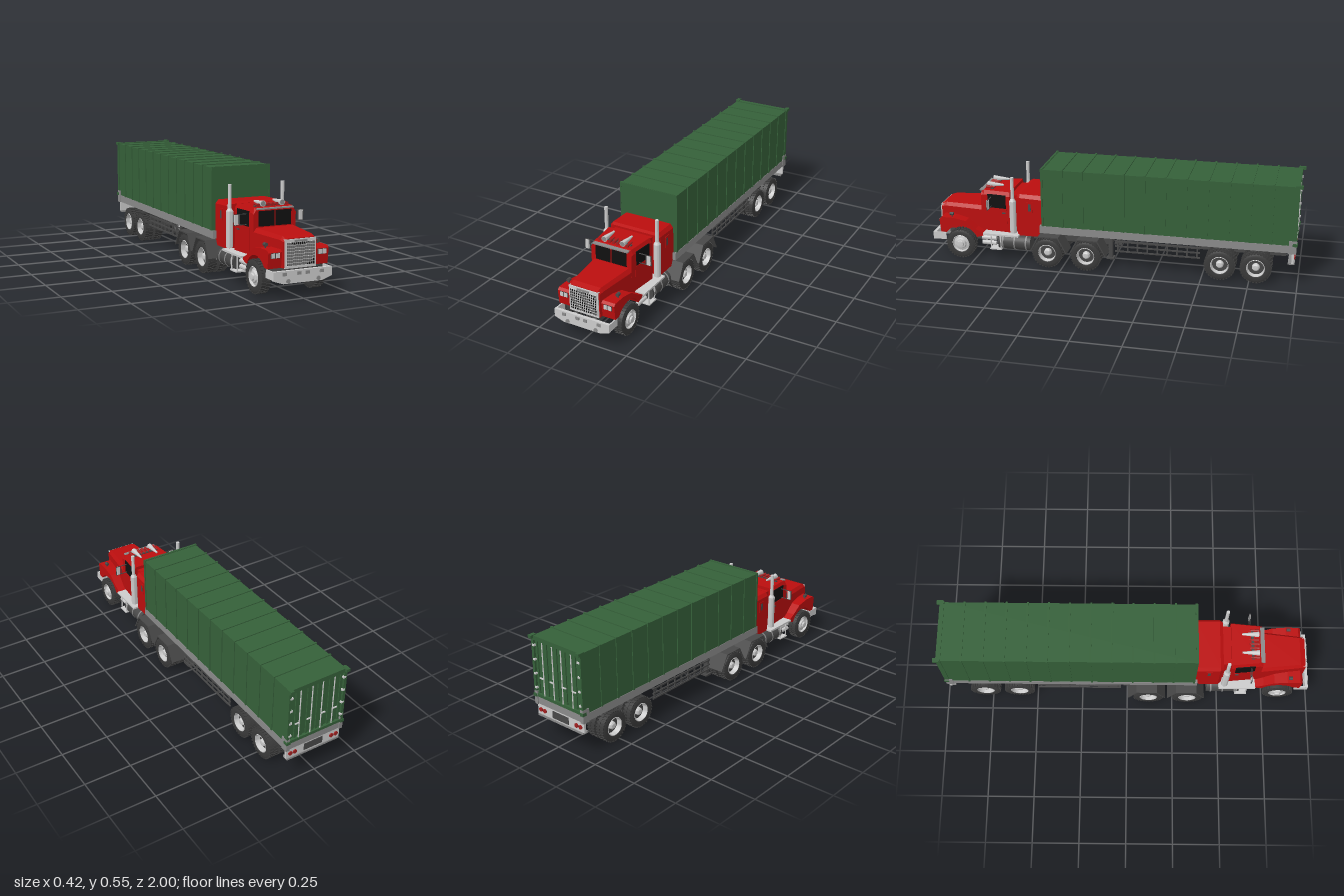
import * as THREE from 'three';
import { mergeGeometries, toCreasedNormals } from 'three/addons/utils/BufferGeometryUtils.js';

const mat = (color) => new THREE.MeshStandardMaterial({ color });
const RED = mat(0xbb0e0e), GREEN = mat(0x356039), LIGHT = mat(0xcccccc), MID = mat(0x8a8a8a);
const DARK = mat(0x484848), TYRE = mat(0x3a3a3a), BLACK = mat(0x101010), LAMP = mat(0xa02020);

function add(parent, name, geo, material, x = 0, y = 0, z = 0) {
  const m = new THREE.Mesh(geo, material);
  m.name = name;
  m.position.set(x, y, z);
  parent.add(m);
  return m;
}
// Box given by its extents on each axis
function box(parent, name, material, [x0, x1], [y0, y1], [z0, z1]) {
  return add(parent, name, new THREE.BoxGeometry(Math.abs(x1 - x0), y1 - y0, z1 - z0), material,
    (x0 + x1) / 2, (y0 + y1) / 2, (z0 + z1) / 2);
}
// Cylinder along an axis, centred on a point; r1 is the radius at the positive end
function cyl(parent, name, material, axis, r0, r1, len, x, y, z, seg = 20) {
  const g = new THREE.CylinderGeometry(r1, r0, len, seg);
  if (axis === 'x') g.rotateZ(-Math.PI / 2);
  if (axis === 'z') g.rotateX(Math.PI / 2);
  return add(parent, name, toCreasedNormals(g, 0.7), material, x, y, z);
}
// Extrudes a side outline (z, y) across x
function extrudeX(shape, x0, x1) {
  const g = new THREE.ExtrudeGeometry(shape, { depth: x1 - x0, bevelEnabled: false, curveSegments: 20 });
  return g.rotateY(-Math.PI / 2).translate(x1, 0, 0);
}
const outline = (pts) => new THREE.Shape(pts.map((p) => new THREE.Vector2(...p)));
// Lofts mirrored half-sections, each [z, [[x, y] from bottom to top]], from back to front
function loft(sections) {
  const rings = sections.map(([z, half]) =>
    [...half, ...half.map(([x, y]) => [-x, y]).reverse()].map(([x, y]) => [x, y, z]));
  const pos = [], n = rings[0].length, tri = (...p) => p.forEach((v) => pos.push(...v));
  for (let i = 0; i < rings.length - 1; i++) for (let j = 0; j < n; j++) {
    const k = (j + 1) % n, a = rings[i], b = rings[i + 1];
    tri(a[j], a[k], b[k]);
    tri(a[j], b[k], b[j]);
  }
  const back = rings[0], front = rings[rings.length - 1];
  for (let j = 1; j < n - 1; j++) {
    tri(front[0], front[j], front[j + 1]);
    tri(back[0], back[j + 1], back[j]);
  }
  const g = new THREE.BufferGeometry();
  g.setAttribute('position', new THREE.Float32BufferAttribute(pos, 3));
  g.computeVertexNormals();
  return g;
}
// Surface of revolution about x, profile as [radius, x]
function latheX(pts) {
  const g = new THREE.LatheGeometry(pts.map((p) => new THREE.Vector2(...p)), 32);
  return toCreasedNormals(g.rotateZ(-Math.PI / 2), 0.6);
}
// Tyre with two staggered rows of tread blocks
function tyreGeometry(w) {
  const h = w / 2;
  const parts = [latheX([[0.046, -h * 0.7], [0.05, -h * 0.95], [0.068, -h], [0.079, -h * 0.8],
    [0.079, h * 0.8], [0.068, h], [0.05, h * 0.95], [0.046, h * 0.7], [0.046, -h * 0.7]])];
  for (let i = 0; i < 60; i++) {
    const b = new THREE.BoxGeometry(h * 0.84, 0.006, 0.0095).toNonIndexed();
    b.translate((i % 2 ? 1 : -1) * h * 0.46, 0.08, 0).rotateX((i / 60) * Math.PI * 2);
    parts.push(b);
  }
  return mergeGeometries(parts.map((g) => { g.deleteAttribute('uv'); return g; }));
}
const TYRE_GEO = tyreGeometry(0.054);
const HUB_GEO = {
  single: latheX([[0.048, -0.02], [0.05, 0.022], [0.046, 0.026], [0.042, 0.014], [0.03, 0.018],
    [0.026, 0.026], [0.018, 0.028], [0.016, 0.036], [0, 0.038]]),
  dual: latheX([[0.048, -0.02], [0.05, 0.022], [0.046, 0.026], [0.041, -0.008], [0.022, -0.012],
    [0.019, 0.012], [0.013, 0.018], [0, 0.02]]),
};
// Axle with wheels on both sides, at the given tyre centres
function axle(parent, name, z, centres) {
  const g = new THREE.Group();
  g.name = name;
  g.position.set(0, 0.083, z);
  parent.add(g);
  cyl(g, 'axleBeam', DARK, 'x', 0.014, 0.014, centres[0] * 2, 0, 0, 0);
  for (const s of [-1, 1]) centres.forEach((c, i) => {
    const turn = s > 0 ? 0 : Math.PI;
    add(g, 'tyre', TYRE_GEO, TYRE, s * c).rotation.y = turn;
    add(g, 'wheelHub', HUB_GEO[centres.length > 1 ? 'dual' : 'single'], LIGHT, s * c).rotation.y = turn;
    if (i === 0) cyl(g, 'brakeDrum', DARK, 'x', 0.044, 0.044, 0.02, s * (c - 0.012), 0, 0);
  });
}

function buildTractor(t) {
  // Chassis and driveline
  for (const s of [-1, 1]) box(t, 'chassisRail', DARK, [s * 0.045, s * 0.062], [0.105, 0.16], [0, 0.96]);
  for (const z of [0.03, 0.22, 0.42, 0.6, 0.92]) box(t, 'crossMember', DARK, [-0.05, 0.05], [0.11, 0.15], [z - 0.012, z + 0.012]);
  box(t, 'engine', DARK, [-0.04, 0.04], [0.065, 0.15], [0.66, 0.9]);
  cyl(t, 'driveShaft', DARK, 'z', 0.012, 0.012, 0.55, 0, 0.088, 0.39);
  for (const z of [0.117, 0.33]) add(t, 'differential', new THREE.SphereGeometry(0.04, 16, 12), DARK, 0, 0.085, z);
  cyl(t, 'fifthWheel', DARK, 'y', 0.075, 0.075, 0.016, 0, 0.17, 0.22, 28);
  axle(t, 'frontAxle', 0.83, [0.147]);
  axle(t, 'driveAxleFront', 0.33, [0.18, 0.116]);
  axle(t, 'driveAxleRear', 0.117, [0.18, 0.116]);

  // Bodywork
  add(t, 'hood', loft([[0.72, [[0.115, 0.15], [0.115, 0.27], [0.1, 0.29]]],
    [0.935, [[0.09, 0.14], [0.09, 0.268], [0.077, 0.286]]],
    [0.962, [[0.087, 0.14], [0.087, 0.262], [0.075, 0.277]]]]), RED);
  add(t, 'cab', loft([[0.555, [[0.13, 0.145], [0.13, 0.36], [0.118, 0.383]]],
    [0.705, [[0.116, 0.145], [0.116, 0.36], [0.104, 0.383]]],
    [0.722, [[0.115, 0.145], [0.115, 0.355], [0.1, 0.376]]]]), RED);
  box(t, 'cabLink', RED, [-0.108, 0.108], [0.15, 0.365], [0.505, 0.56]);
  add(t, 'sleeper', loft([[0.37, [[0.146, 0.15], [0.146, 0.36], [0.13, 0.38]]],
    [0.495, [[0.146, 0.15], [0.146, 0.365], [0.132, 0.383]]],
    [0.512, [[0.136, 0.15], [0.136, 0.36], [0.126, 0.376]]]]), RED);
  box(t, 'sunVisor', MID, [-0.1, 0.1], [0.376, 0.382], [0.71, 0.732]);
  const fender = outline([[0.912, 0.14], [0.945, 0.14], [0.952, 0.215], [0.94, 0.226], [0.87, 0.226],
    [0.8, 0.212], [0.745, 0.172], [0.7, 0.148], [0.705, 0.135], [0.739, 0.125]]);
  fender.absarc(0.83, 0.083, 0.1, THREE.MathUtils.degToRad(155), THREE.MathUtils.degToRad(35), true);

  for (const s of [-1, 1]) {
    const span = (a, b) => (s > 0 ? [a, b] : [-b, -a]);
    add(t, 'frontFender', extrudeX(fender, ...span(0.084, 0.16)), RED);
    for (const x of [0.112, 0.136]) {
      box(t, 'headlightFrame', DARK, span(x - 0.011, x + 0.011), [0.188, 0.214], [0.945, 0.954]);
      box(t, 'headlight', LIGHT, span(x - 0.009, x + 0.009), [0.19, 0.212], [0.95, 0.957]);
    }
    cyl(t, 'turnSignal', DARK, 'z', 0.009, 0.009, 0.02, s * 0.14, 0.243, 0.885, 12);
    cyl(t, 'signalStem', DARK, 'y', 0.004, 0.004, 0.02, s * 0.14, 0.23, 0.885, 8);
    // Windows, door and sleeper panel
    box(t, 'windscreen', BLACK, span(0.004, 0.088), [0.295, 0.369], [0.715, 0.725]);
    box(t, 'sideWindow', BLACK, [s * 0.122 - 0.003, s * 0.122 + 0.003], [0.29, 0.365], [0.577, 0.683]).rotation.y = -s * 0.093;
    box(t, 'door', RED, [s * 0.122 - 0.002, s * 0.122 + 0.002], [0.16, 0.285], [0.572, 0.69]).rotation.y = -s * 0.093;
    box(t, 'doorHandle', DARK, span(0.128, 0.133), [0.262, 0.268], [0.58, 0.6]);
    box(t, 'sleeperPanel', RED, span(0.144, 0.149), [0.285, 0.345], [0.42, 0.455]);
    box(t, 'sleeperVent', DARK, span(0.148, 0.15), [0.295, 0.335], [0.43, 0.445]);
    // Exhaust stack
    cyl(t, 'muffler', LIGHT, 'y', 0.018, 0.018, 0.18, s * 0.147, 0.255, 0.532);
    cyl(t, 'exhaustCone', LIGHT, 'y', 0.018, 0.0095, 0.015, s * 0.147, 0.352, 0.532);
    cyl(t, 'exhaustPipe', LIGHT, 'y', 0.0095, 0.0095, 0.13, s * 0.147, 0.413, 0.532);
    // Mirror on a wire bracket
    box(t, 'mirror', LIGHT, span(0.168, 0.186), [0.3, 0.349], [0.658, 0.668]);
    for (const y of [0.298, 0.35]) box(t, 'mirrorArm', DARK, span(0.115, 0.19), [y - 0.0015, y + 0.0015], [0.66, 0.664]);
    for (const x of [0.16, 0.19]) box(t, 'mirrorPost', DARK, span(x - 0.0015, x + 0.0015), [0.298, 0.35], [0.66, 0.664]);
    // Fuel tank, steps and air tanks
    cyl(t, 'fuelTank', DARK, 'z', 0.043, 0.043, 0.18, s * 0.127, 0.105, 0.525, 24);
    for (const z of [0.46, 0.525, 0.59]) cyl(t, 'tankStrap', MID, 'z', 0.0445, 0.0445, 0.008, s * 0.127, 0.105, z, 24);
    box(t, 'deckStep', LIGHT, span(0.1, 0.172), [0.145, 0.155], [0.5, 0.7]);
    box(t, 'lowerStep', LIGHT, span(0.115, 0.176), [0.066, 0.073], [0.595, 0.66]);
    for (const z of [0.6, 0.655]) box(t, 'stepHanger', LIGHT, span(0.165, 0.17), [0.07, 0.15], [z - 0.003, z + 0.003]);
    for (const y of [0.09, 0.118]) cyl(t, 'airTank', LIGHT, 'z', 0.012, 0.012, 0.08, s * 0.135, y, 0.675, 14);
    // Angled guards over the drive wheels
    for (const z of [0.107, 0.322]) {
      const guard = outline([[-0.102, 0.09], [-0.096, 0.09], [-0.052, 0.171], [0.052, 0.171],
        [0.096, 0.09], [0.102, 0.09], [0.056, 0.177], [-0.056, 0.177]]);
      add(t, 'driveWheelGuard', extrudeX(guard, ...span(0.11, 0.209)), DARK, 0, 0, z);
    }
    // Bumper fittings
    box(t, 'bumperReturn', LIGHT, span(0.148, 0.155), [0.094, 0.134], [0.92, 0.985]);
    for (const x of [0.022, 0.098]) box(t, 'bumperLamp', MID, span(x - 0.01, x + 0.01), [0.113, 0.128], [0.99, 0.999]);
    cyl(t, 'fogLamp', MID, 'z', 0.01, 0.01, 0.01, s * 0.08, 0.088, 0.995);
    box(t, 'bumperBracket', MID, span(0.045, 0.062), [0.09, 0.125], [0.93, 0.99]);
    // Large roof horns
    cyl(t, 'roofHorn', LIGHT, 'z', 0.005, 0.015, 0.09, s * 0.052, 0.4, 0.655);
    cyl(t, 'hornMouth', MID, 'z', 0.012, 0.012, 0.002, s * 0.052, 0.4, 0.7005);
  }
  for (const x of [-0.077, -0.023, 0, 0.023, 0.077]) {
    cyl(t, 'roofLamp', LAMP, 'z', 0.003, 0.0085, 0.05, x, 0.394, 0.675, 14);
  }
  box(t, 'roofLampBar', DARK, [-0.085, 0.085], [0.382, 0.387], [0.66, 0.675]);

  // Grille and bumper
  box(t, 'grilleSurround', LIGHT, [-0.082, 0.082], [0.138, 0.274], [0.95, 0.968]);
  box(t, 'grilleBack', BLACK, [-0.074, 0.074], [0.15, 0.26], [0.965, 0.97]);
  box(t, 'grilleCap', MID, [-0.034, 0.034], [0.261, 0.27], [0.965, 0.972]);
  for (let i = 0; i <= 14; i++) {
    const x = -0.074 + i * 0.148 / 14;
    box(t, 'grilleBar', LIGHT, [x - 0.0013, x + 0.0013], [0.15, 0.26], [0.968, 0.973]);
  }
  for (let i = 0; i <= 8; i++) {
    const y = 0.15 + i * 0.11 / 8;
    box(t, 'grilleSlat', LIGHT, [-0.074, 0.074], [y - 0.001, y + 0.001], [0.968, 0.972]);
  }
  const bumper = outline([[-0.155, 0.092], [-0.105, 0.075], [0.105, 0.075], [0.155, 0.092], [0.155, 0.135], [-0.155, 0.135]]);
  add(t, 'frontBumper', new THREE.ExtrudeGeometry(bumper, { depth: 0.016, bevelEnabled: false }), LIGHT, 0, 0, 0.978);
}

function buildTrailer(t) {
  // Deck, side rails and underframe
  box(t, 'deck', DARK, [-0.155, 0.155], [0.186, 0.222], [-0.965, 0.375]);
  for (const s of [-1, 1]) {
    const span = (a, b) => (s > 0 ? [a, b] : [-b, -a]);
    box(t, 'sideRail', MID, span(0.15, 0.165), [0.181, 0.222], [-0.975, 0.38]);
    box(t, 'bogieRail', DARK, span(0.04, 0.058), [0.12, 0.19], [-0.93, -0.47]);
    for (const z of [-0.595, -0.783]) box(t, 'leafSpring', DARK, span(0.036, 0.062), [0.095, 0.125], [z - 0.06, z + 0.06]);
    box(t, 'landingLeg', DARK, span(0.095, 0.115), [0.055, 0.19], [-0.012, 0.01]);
    box(t, 'landingFoot', DARK, span(0.085, 0.125), [0.045, 0.055], [-0.022, 0.02]);
    // Side guard
    for (const y of [0.11, 0.138, 0.164]) box(t, 'guardBar', DARK, span(0.154, 0.16), [y - 0.004, y + 0.004], [-0.49, -0.035]);
    for (let i = 0; i < 9; i++) {
      const z = -0.05 - i * 0.053;
      box(t, 'guardPost', DARK, span(0.15, 0.156), [0.107, 0.19], [z - 0.004, z + 0.004]);
    }
    // Tail corner and lamps
    box(t, 'tailCorner', MID, span(0.148, 0.168), [0.178, 0.25], [-0.985, -0.945]);
    for (const x of [0.11, 0.137]) cyl(t, 'tailLamp', LAMP, 'z', 0.011, 0.011, 0.008, s * x, 0.15, -0.977, 16);
  }
  box(t, 'frontRail', MID, [-0.16, 0.16], [0.181, 0.222], [0.37, 0.38]);
  box(t, 'rearRail', MID, [-0.16, 0.16], [0.181, 0.222], [-0.98, -0.96]);
  box(t, 'landingBrace', DARK, [-0.1, 0.1], [0.12, 0.13], [-0.006, 0.004]);
  box(t, 'tailPanel', LIGHT, [-0.16, 0.16], [0.122, 0.182], [-0.975, -0.963]);
  box(t, 'tailFlange', MID, [-0.155, 0.155], [0.114, 0.124], [-0.98, -0.945]);
  box(t, 'tailPlate', DARK, [-0.055, 0.055], [0.132, 0.17], [-0.978, -0.97]);
  axle(t, 'trailerAxleFront', -0.595, [0.148, 0.088]);
  axle(t, 'trailerAxleRear', -0.783, [0.148, 0.088]);

  // Ribbed container
  box(t, 'container', GREEN, [-0.163, 0.163], [0.222, 0.54], [-0.97, 0.367]);
  for (let i = 0; i <= 12; i++) {
    const z = -0.966 + i * 0.1107;
    box(t, 'roofRib', GREEN, [-0.167, 0.167], [0.535, 0.545], [z - 0.005, z + 0.005]);
    for (const s of [-1, 1]) box(t, 'sideRib', GREEN, [s * 0.16, s * 0.167], [0.222, 0.54], [z - 0.005, z + 0.005]);
  }
  box(t, 'frontHeader', GREEN, [-0.166, 0.166], [0.528, 0.543], [0.355, 0.369]);

  // Rear doors
  box(t, 'doorHeader', GREEN, [-0.167, 0.167], [0.522, 0.545], [-0.985, -0.965]);
  box(t, 'doorSill', GREEN, [-0.167, 0.167], [0.222, 0.238], [-0.985, -0.965]);
  for (const s of [-1, 1]) {
    box(t, 'doorPost', GREEN, [s * 0.152, s * 0.167], [0.222, 0.545], [-0.985, -0.965]);
    for (const y of [0.228, 0.54]) box(t, 'cornerFitting', GREEN, [s * 0.15, s * 0.171], [y - 0.008, y + 0.008], [y > 0.5 ? -1 : -0.99, -0.965]);
    for (const x of [0.012, 0.046, 0.08, 0.114, 0.143]) box(t, 'doorRidge', GREEN, [s * (x - 0.007), s * (x + 0.007)], [0.238, 0.522], [-0.976, -0.965]);
    for (const x of [0.03, 0.098]) {
      cyl(t, 'lockRod', LIGHT, 'y', 0.003, 0.003, 0.29, s * x, 0.38, -0.981, 8);
      box(t, 'lockHandle', LIGHT, [s * x, s * (x + 0.025)], [0.325, 0.331], [-0.985, -0.979]);
    }
    for (const y of [0.27, 0.345, 0.42, 0.495]) box(t, 'hinge', LIGHT, [s * 0.145, s * 0.16], [y - 0.005, y + 0.005], [-0.988, -0.975]);
  }
}

export function createModel() {
  const model = new THREE.Group();
  model.name = 'containerTruck';
  for (const [name, build] of [['tractor', buildTractor], ['trailer', buildTrailer]]) {
    const g = new THREE.Group();
    g.name = name;
    build(g);
    model.add(g);
  }
  return model;
}
